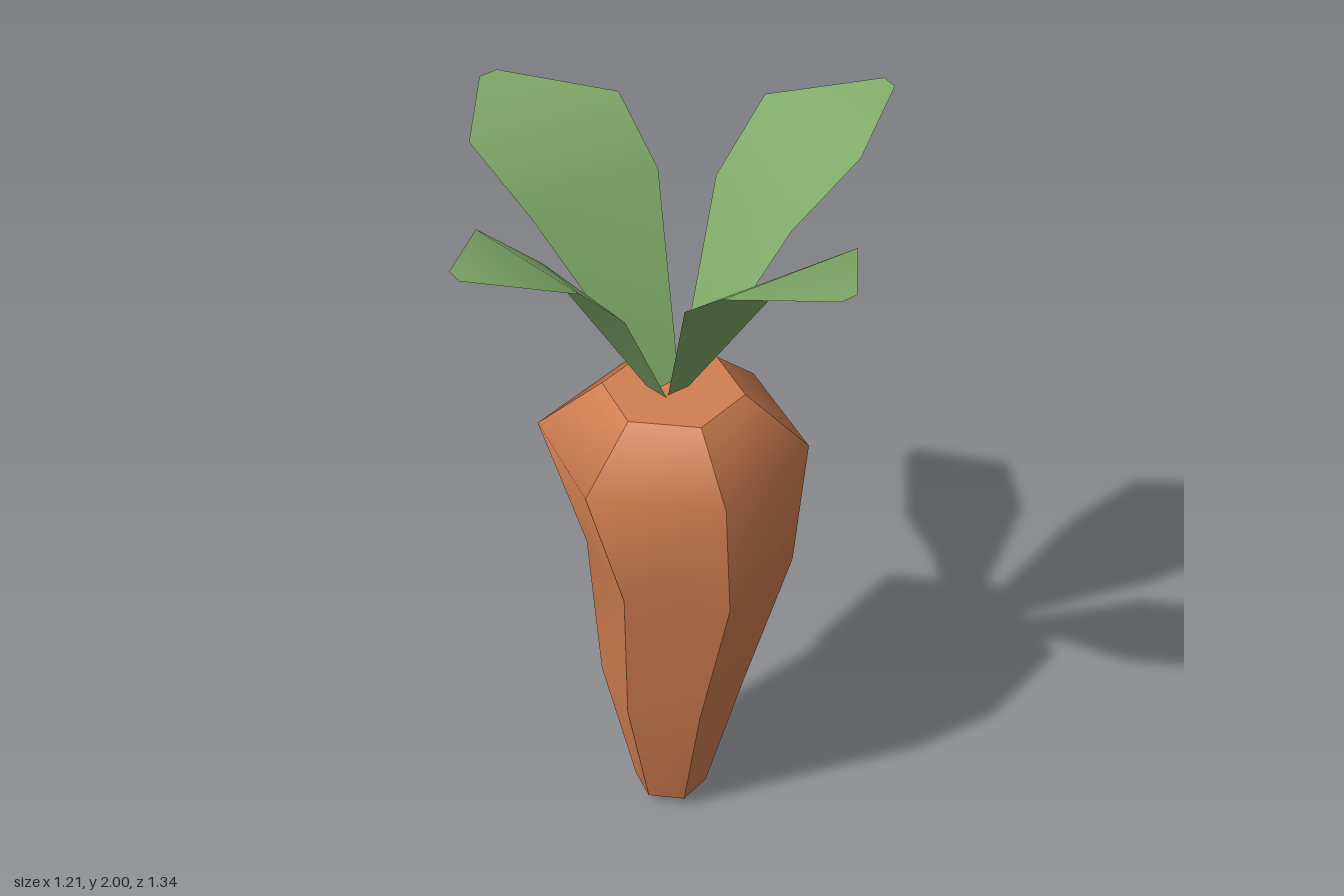
import * as THREE from 'three';

const rootOrange = new THREE.MeshStandardMaterial({ color: 0xd27f51 });
rootOrange.name = 'rootOrange';
const leafGreen = new THREE.MeshStandardMaterial({ color: 0x80aa69, side: THREE.DoubleSide });
leafGreen.name = 'leafGreen';

// Smooth strip through rows of [left, right] points, running bottom to top
function strip(rows) {
  const index = [];
  for (let i = 0; i < rows.length - 1; i++) {
    const a = i * 2;
    index.push(a, a + 1, a + 3, a, a + 3, a + 2);
  }
  const g = new THREE.BufferGeometry();
  g.setAttribute('position', new THREE.Float32BufferAttribute(rows.flat(2), 3));
  g.setIndex(index);
  g.computeVertexNormals();
  return g;
}

function addMesh(parent, name, geometry, material) {
  const mesh = new THREE.Mesh(geometry, material);
  mesh.name = name;
  parent.add(mesh);
  return mesh;
}

// Six-sided root: each ring is [y, radius, centre x, centre z]
const RINGS = [
  [0, 0.058, -0.01, 0.08],
  [0.03, 0.098, -0.012, 0.08],
  [0.4, 0.192, -0.008, 0.08],
  [0.85, 0.268, -0.003, 0.128],
  [1.2, 0.343, -0.012, 0.078],
  [1.34, 0.179, -0.012, 0.08],
];

function makeRoot() {
  const root = new THREE.Group();
  root.name = 'root';
  const corner = ([y, r, cx, cz], k) => {
    const a = (k * Math.PI) / 3;
    return [cx + r * Math.cos(a), y, cz + r * Math.sin(a)];
  };
  // Separate sides keep the long edges sharp while each side bends smoothly
  for (let k = 0; k < 6; k++) {
    addMesh(root, 'rootSide', strip(RINGS.map((ring) => [corner(ring, k + 1), corner(ring, k)])), rootOrange);
  }
  // Flat ends
  for (const [name, ring, tilt] of [['rootTop', RINGS[5], -1], ['rootTip', RINGS[0], 1]]) {
    const cap = addMesh(root, name, new THREE.CircleGeometry(ring[1], 6), rootOrange);
    cap.rotation.x = (tilt * Math.PI) / 2;
    cap.position.set(ring[2], ring[0], ring[3]);
  }
  return root;
}

// Leaves: base, lower, upper and tip rows, each with its left and right point
const LEAVES = {
  backLeaf: [
    [[0.03, 1.335, 0.065], [-0.045, 1.335, 0.05]],
    [[0.27, 1.74, -0.19], [-0.115, 1.74, -0.275]],
    [[0.35, 1.86, -0.38], [-0.1, 1.875, -0.485]],
    [[0.205, 1.89, -0.66], [0.15, 1.89, -0.67]],
  ],
  rightLeaf: [
    [[-0.04, 1.335, 0.02], [-0.05, 1.335, 0.09]],
    [[-0.215, 1.71, -0.16], [-0.3, 1.715, 0.16]],
    [[-0.36, 1.845, -0.235], [-0.445, 1.86, 0.15]],
    [[-0.59, 1.89, -0.11], [-0.605, 1.89, -0.065]],
  ],
  frontLeaf: [
    [[-0.04, 1.335, 0.085], [0.02, 1.335, 0.1]],
    [[-0.205, 1.735, 0.26], [0.115, 1.72, 0.345]],
    [[-0.275, 1.865, 0.415], [0.115, 1.85, 0.515]],
    [[-0.155, 1.895, 0.655], [-0.11, 1.895, 0.665]],
  ],
  leftLeaf: [
    [[0.02, 1.335, 0.1], [0.035, 1.335, 0.06]],
    [[0.15, 1.8, 0.305], [0.305, 1.76, -0.035]],
    [[0.3, 1.96, 0.39], [0.475, 1.92, -0.015]],
    [[0.58, 2.0, 0.295], [0.6, 2.0, 0.25]],
  ],
};

export function createModel() {
  const model = new THREE.Group();
  model.name = 'carrot';
  model.add(makeRoot());

  const leaves = new THREE.Group();
  leaves.name = 'leaves';
  for (const [name, rows] of Object.entries(LEAVES)) addMesh(leaves, name, strip(rows), leafGreen);
  model.add(leaves);
  return model;
}
